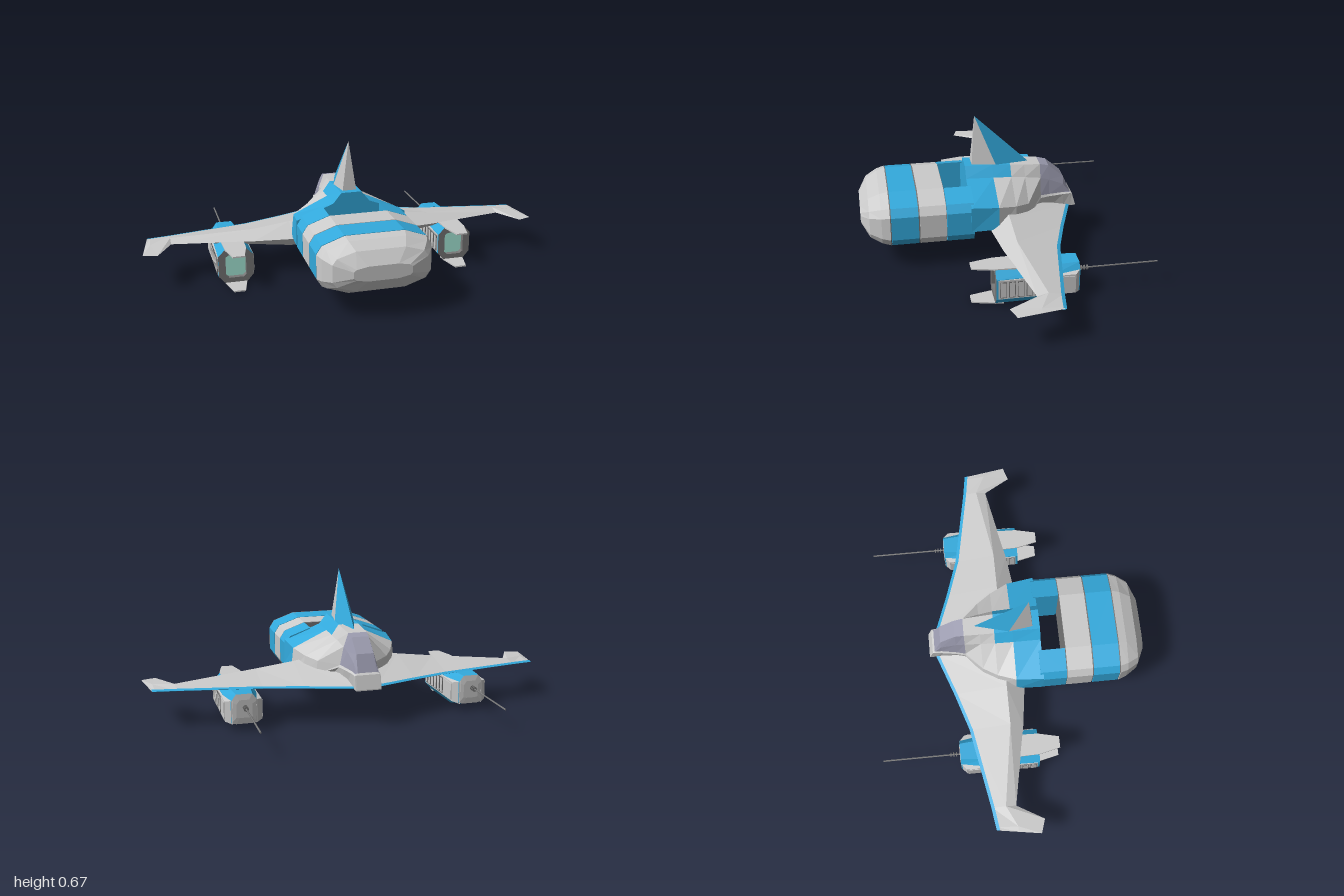
import * as THREE from 'three';

const mat = (color) => new THREE.MeshStandardMaterial({ color, flatShading: true, side: THREE.DoubleSide });

export function createModel() {
  const model = new THREE.Group();
  const grey = mat(0xcccccc), blue = mat(0x33aadd), glass = mat(0x9c9cb0), dark = mat(0x777777), green = mat(0xaaeedd);

  const add = (name, geometry, material, parent = model) => {
    const mesh = new THREE.Mesh(geometry, material);
    mesh.name = name;
    parent.add(mesh);
    return mesh;
  };

  // Flat-shaded surface through rows of [x, y, z]; optional closed rows and end caps
  const skin = (rows, closed = false, caps = false) => {
    const out = [];
    const n = rows[0].length;
    for (let i = 0; i + 1 < rows.length; i++) {
      for (let j = 0; j < (closed ? n : n - 1); j++) {
        const a = rows[i][j], b = rows[i][(j + 1) % n], c = rows[i + 1][(j + 1) % n], d = rows[i + 1][j];
        out.push(...a, ...b, ...c, ...a, ...c, ...d);
      }
    }
    if (caps) {
      const first = rows[0], last = rows[rows.length - 1];
      for (let j = 1; j + 1 < n; j++) {
        out.push(...first[0], ...first[j + 1], ...first[j], ...last[0], ...last[j], ...last[j + 1]);
      }
    }
    const g = new THREE.BufferGeometry();
    g.setAttribute('position', new THREE.Float32BufferAttribute(out, 3));
    g.computeVertexNormals();
    return g;
  };

  const mirrorRing = (half, z) => [
    ...half.map(([x, y]) => [x, y, z]),
    ...[...half].reverse().map(([x, y]) => [-x, y, z]),
  ];
  const box = (w, h, d, x, y, z) => new THREE.BoxGeometry(w, h, d).translate(x, y, z);
  const rod = (r, z0, z1, y, sides = 6) =>
    new THREE.CylinderGeometry(r, r, Math.abs(z1 - z0), sides).rotateX(Math.PI / 2).translate(0, y, (z0 + z1) / 2);

  // Fuselage: half profiles run from belly to spine
  const hull = [
    [0.155, [[0.2, 0.18], [0.275, 0.19], [0.272, 0.315], [0.09, 0.385], [0.05, 0.435]]],
    [0.02, [[0.2, 0.16], [0.27, 0.19], [0.258, 0.3], [0.088, 0.38], [0.05, 0.432]]],
    [-0.07, [[0.18, 0.16], [0.235, 0.2], [0.22, 0.28], [0.085, 0.375], [0.05, 0.425]]],
    [-0.14, [[0.14, 0.165], [0.185, 0.2], [0.175, 0.268], [0.078, 0.365], [0.048, 0.42]]],
    [-0.22, [[0.08, 0.175], [0.092, 0.25], [0.086, 0.262], [0.068, 0.35], [0.045, 0.415]]],
    [-0.265, [[0.065, 0.178], [0.08, 0.25], [0.074, 0.26], [0.062, 0.335], [0.042, 0.404]]],
    [-0.34, [[0.06, 0.18], [0.068, 0.25], [0.06, 0.258], [0.055, 0.3], [0.042, 0.34]]],
    [-0.375, [[0.06, 0.18], [0.064, 0.25], [0.058, 0.254], [0.054, 0.256], [0.045, 0.258]]],
    [-0.385, [[0.06, 0.18], [0.063, 0.248], [0.058, 0.25], [0.05, 0.25], [0.04, 0.25]]],
    [-0.405, [[0.06, 0.18], [0.062, 0.184], [0.055, 0.185], [0.05, 0.185], [0.04, 0.185]]],
  ];
  const rings = hull.map(([z, half]) => mirrorRing(half, z));
  const part = (from, to, a, b) => rings.slice(from, to + 1).map((r) => r.slice(a, b + 1));
  add('rearFuselage', skin(rings.slice(0, 2), true, true), blue);
  add('spineSaddle', skin(part(1, 2, 3, 6)), blue);
  for (const [a, b] of [[0, 3], [6, 9]]) add('midFuselageSide', skin(part(1, 2, a, b)), grey);
  add('frontFuselage', skin(rings.slice(2, 5), true, true), grey);
  for (const [a, b] of [[0, 2], [7, 9]]) add('cockpitSide', skin(part(4, 7, a, b)), grey);
  add('canopy', skin(part(4, 7, 2, 7)), glass);
  add('nose', skin(rings.slice(7), true, true), grey);
  add('bellyPlate', skin(rings.slice(1, 8).map((r) => [r[0], r[9]])), grey);

  // Tail fin: blue leading faces, grey trailing faces
  const apex = [0, 0.675, 0.1];
  const finFace = (...pts) => skin([[apex, apex], pts]);
  for (const s of [1, -1]) {
    add('finLeadingFace', finFace([0, 0.415, -0.17], [s * 0.05, 0.425, 0.0]), blue);
    add('finTrailingFace', finFace([s * 0.05, 0.425, 0.0], [s * 0.035, 0.425, 0.12]), grey);
  }
  add('finRearFace', finFace([0.035, 0.425, 0.12], [-0.035, 0.425, 0.12]), grey);

  // Rear pod: banded capsule with chamfered cross-section
  const podHalf = [[0.14, -0.135], [0.245, -0.097], [0.27, -0.058], [0.27, 0.058], [0.245, 0.097], [0.14, 0.135]];
  const podRing = (z, sx = 1, sy = sx) => mirrorRing(podHalf.map(([x, y]) => [x * sx, 0.235 + y * sy]), z);
  add('podCap', skin([podRing(0.54), podRing(0.58, 0.95, 0.92), podRing(0.635, 0.82, 0.7), podRing(0.675, 0.5, 0.26)], true, true), grey);
  add('podBandBlue', skin([podRing(0.535), podRing(0.406)], true, true), blue);
  add('podBandGrey', skin([podRing(0.4), podRing(0.274)], true, true), grey);
  add('podGrooves', skin([podRing(0.545, 0.98), podRing(0.272, 0.98)], true, true), dark);
  for (const s of [1, -1]) {
    const cheek = (z) => podHalf.map(([x, y]) => [s * x, 0.235 + y, z]);
    add('podCheek', skin([cheek(0.27), cheek(0.14)], true, true), blue);
  }

  // Wings: each station lists leading edge, top ridge, trailing edge, bottom ridge as [x, y, z]
  const wing = [
    [[0.05, 0.185, -0.37], [0.05, 0.28, -0.02], [0.05, 0.19, 0.08], [0.05, 0.13, 0]],
    [[0.27, 0.182, -0.29], [0.27, 0.247, -0.03], [0.27, 0.185, 0.06], [0.27, 0.13, 0]],
    [[0.46, 0.18, -0.228], [0.46, 0.223, -0.03], [0.46, 0.183, 0.035], [0.46, 0.152, -0.01]],
    [[0.855, 0.18, -0.155], [0.855, 0.194, -0.09], [0.855, 0.18, -0.04], [0.855, 0.17, -0.09]],
    [[0.95, 0.18, -0.141], [0.955, 0.187, -0.04], [0.93, 0.18, 0.092], [0.955, 0.174, -0.04]],
    [[0.965, 0.18, -0.138], [0.98, 0.181, -0.04], [0.998, 0.18, 0.07], [0.98, 0.179, -0.04]],
  ];
  const edgeOf = (row, s, dy, dz) => [s * row[0][0], row[0][1] + dy, row[0][2] + dz];
  for (const s of [1, -1]) {
    const name = s > 0 ? 'left' : 'right';
    add(name + 'Wing', skin(wing.map((r) => r.map(([x, y, z]) => [s * x, y, z])), true, true), grey);
    const strip = wing.map((r) => [edgeOf(r, s, 0.006, 0.01), edgeOf(r, s, 0, -0.006), edgeOf(r, s, -0.006, 0.01)]);
    add(name + 'WingLeadingStrip', skin(strip), blue);
  }

  // Gun pods under the wings
  const gunPod = () => {
    const pod = new THREE.Group();
    const ring = (z, w, low) => mirrorRing([[w * 0.62, low], [w, 0.042], [w, 0.145], [w * 0.62, 0.178]], z);
    const rear = ring(0.1, 0.085, 0.005);
    const hole = (z) => mirrorRing([[0.035, 0.032], [0.05, 0.045], [0.05, 0.138], [0.035, 0.15]], z);
    const front = ring(-0.29, 0.062, 0.036);
    add('podShell', skin([rear, ring(-0.16, 0.08, 0.005), front], true), blue, pod);
    add('podFront', skin([front, front.map(([x, y, z]) => [x * 0.6, 0.11 + (y - 0.11) * 0.6, z - 0.004])], true, true), grey, pod);
    add('exhaustRim', skin([rear, hole(0.1), hole(0.07)], true), dark, pod);
    add('exhaustGlow', box(0.1, 0.12, 0.01, 0, 0.092, 0.07), green, pod);

    // Side panels with a row of vents
    for (const s of [1, -1]) {
      const panel = (x, y0, y1, z0, z1) => [[s * x, y0, z0], [s * x, y1, z0], [s * x, y1, z1], [s * x, y0, z1]];
      add('sidePanel', skin([panel(0.055, 0.036, 0.15, 0.1, -0.292), panel(0.087, 0.045, 0.142, 0.09, -0.265)], true, true), grey, pod);
      for (let i = 0; i < 7; i++) {
        const last = i === 6;
        const depth = last ? 0.092 : 0.03;
        add('vent', box(0.006, 0.082, depth, s * 0.088, 0.0935, last ? -0.212 : 0.068 - i * 0.04), last ? grey : dark, pod);
        if (!last) add('ventCover', box(0.008, 0.074, 0.024, s * 0.088, 0.0935, 0.068 - i * 0.04), grey, pod);
      }
    }

    // Tapered tail plates above and below the exhaust
    const plate = (y, z0) => [y, y + 0.007].map((h) => [
      [-0.055, h, z0], [-0.052, h, 0.1], [-0.028, h, 0.205], [0.028, h, 0.205], [0.052, h, 0.1], [0.055, h, z0],
    ]);
    add('upperTailPlate', skin(plate(0.176, -0.02), true, true), grey, pod);
    add('lowerTailPlate', skin(plate(0.001, 0.06), true, true), grey, pod);

    // Barrel with cooling rings
    add('barrel', rod(0.004, -0.28, -0.675, 0.12), dark, pod);
    for (const z of [-0.308, -0.322, -0.336]) add('barrelRing', rod(0.012, z, z - 0.005, 0.12, 8), dark, pod);
    return pod;
  };
  for (const s of [1, -1]) {
    const pod = gunPod();
    pod.name = s > 0 ? 'leftGunPod' : 'rightGunPod';
    pod.position.x = s * 0.563;
    model.add(pod);
  }

  return model;
}
